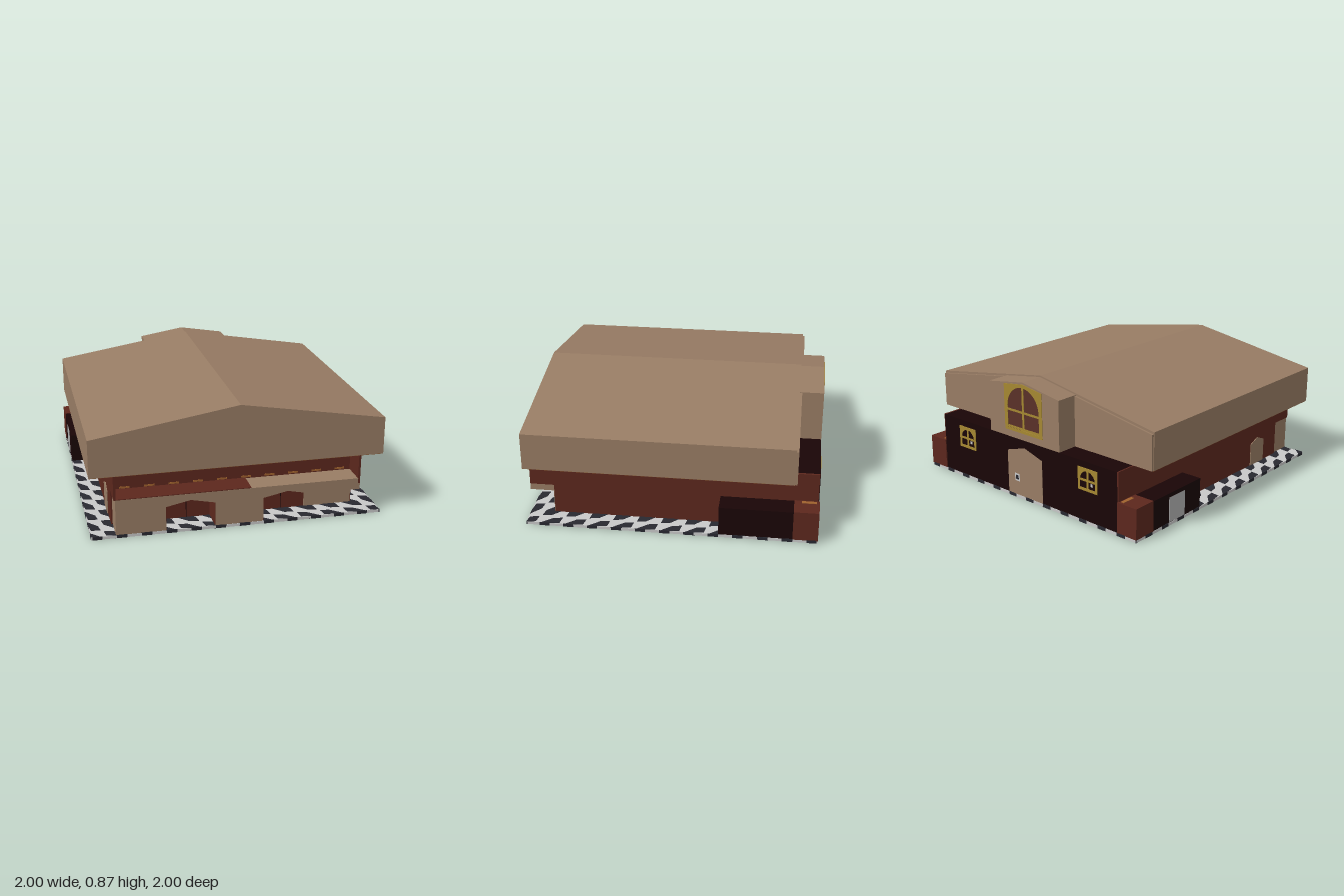
import * as THREE from 'three';

const mat = (name, color) => {
  const m = new THREE.MeshStandardMaterial({ color });
  m.name = name;
  return m;
};

export function createModel() {
  const model = new THREE.Group();
  model.name = 'hall';
  const tan = mat('tan plaster', 0x987c64);
  const red = mat('dark red brick', 0x5c271d);
  const black = mat('black timber', 0x190506);
  const white = mat('pale tile', 0xc8c8c8);
  const dark = mat('charcoal tile', 0x282830);
  const gold = mat('gold frame', 0xa68832);
  const glass = mat('window glass', 0x5a3028);
  const orange = mat('orange lamp', 0xa0622e);
  const grey = mat('grey door', 0xb0b0b0);
  const brown = mat('brown timber', 0x8a5c34);

  const add = (name, geo, material, parent = model) => {
    const m = new THREE.Mesh(geo, material);
    m.name = name;
    parent.add(m);
    return m;
  };
  // box given by its two extreme corners
  const box = (name, material, x0, x1, y0, y1, z0, z1, parent) => {
    const m = add(name, new THREE.BoxGeometry(x1 - x0, y1 - y0, z1 - z0), material, parent);
    m.position.set((x0 + x1) / 2, (y0 + y1) / 2, (z0 + z1) / 2);
    return m;
  };
  const toShape = (outline) => new THREE.Shape(outline.map(([x, y]) => new THREE.Vector2(x, y)));
  // shape in x and y, swept from z0 to z1
  const sweep = (name, material, shape, z0, z1, parent) => {
    const geo = new THREE.ExtrudeGeometry(shape, { depth: z1 - z0, bevelEnabled: false, curveSegments: 10 });
    geo.translate(0, 0, z0);
    return add(name, geo, material, parent);
  };
  const gable = (w, y0, eave, ridge) => toShape([[-w, y0], [w, y0], [w, eave], [0, ridge], [-w, eave]]);

  // pale floor with long dark hexagons laid along one diagonal, cut off at the rim
  box('floorSlab', white, -0.999, 0.999, 0.001, 0.021, -0.999, 0.999);
  const n = 12, s = 2 / n, L = 0.105, W = 0.038;
  const hexagon = [[L, 0], [L / 2, W], [-L / 2, W], [-L, 0], [-L / 2, -W], [L / 2, -W]];
  const clamp = (v) => THREE.MathUtils.clamp(v, -1, 1);
  const tiles = [];
  for (let i = 0; i <= n; i++) {
    for (let j = 0; j <= n; j++) {
      tiles.push(toShape(hexagon.map(([a, b]) => [
        clamp(-1 + i * s + (a - b) * Math.SQRT1_2),
        clamp(-1 + j * s - (a + b) * Math.SQRT1_2),
      ])));
    }
  }
  sweep('darkTiles', dark, tiles, 0, 0.023).rotation.x = -Math.PI / 2;

  // main body and the dark back wall
  box('mainWalls', red, -0.835, 0.835, 0.02, 0.44, -0.84, 0.83);
  box('backWall', black, -0.835, 0.835, 0.02, 0.44, -0.996, -0.84);

  // side walls, outbuildings and corner blocks
  for (const k of [-1, 1]) {
    const span = (a, b) => (k > 0 ? [a, b] : [-b, -a]);
    box('sideWall', red, ...span(0.83, 0.845), 0.02, 0.44, -0.992, 0.83);
    box('balconySide', red, ...span(0.83, 0.845), k > 0 ? 0.235 : 0.27, 0.44, 0.83, 0.998);
    box('sideShed', black, ...span(0.84, 0.997), 0.02, 0.23, -0.83, -0.33);
    box('cornerBlock', red, ...span(0.84, 1), 0.02, 0.235, -1, -0.83);
    box('cornerLamp', orange, ...span(0.855, 0.88), 0.235, 0.238, -0.98, -0.88);
  }
  box('shedDoor', grey, -1, -0.994, 0.025, 0.2, -0.665, -0.5);
  const sideDoor = sweep('sideDoor', tan, gable(0.083, 0.022, 0.19, 0.225), 0, 0.006);
  sideDoor.rotation.y = -Math.PI / 2;
  sideDoor.position.set(-0.844, 0, 0.583);

  // front porch with two gabled openings, open at its far end
  sweep('frontPorch', tan, toShape([
    [-0.835, 0.02], [-0.5, 0.02], [-0.5, 0.19], [-0.333, 0.225], [-0.165, 0.19], [-0.165, 0.02],
    [0.165, 0.02], [0.165, 0.19], [0.333, 0.225], [0.5, 0.19], [0.845, 0.19],
    [0.845, 0.235], [0.835, 0.235], [0.835, 0.27], [-0.835, 0.27],
  ]), 0.83, 0.998);
  for (const x of [-0.499, -0.166, 0.166]) box('doorJamb', red, x - 0.003, x + 0.003, 0.022, 0.192, 0.83, 0.99);
  box('porchLamp', orange, 0.168, 0.173, 0.165, 0.185, 0.88, 0.98);
  box('porchBracket', black, 0.168, 0.173, 0.1, 0.12, 0.85, 0.91);
  box('balconyFloor', red, -0.83, 0.08, 0.27, 0.275, 0.83, 0.997);
  box('porchBackWall', tan, 0.5, 0.84, 0.022, 0.19, 0.828, 0.835);
  for (const x of [-0.333, 0.333]) box('doorSeam', black, x - 0.002, x + 0.002, 0.022, 0.225, 0.828, 0.833);
  for (let i = 0; i < 10; i++) {
    const x = -0.75 + i * 0.167;
    box('balconyLamp', orange, x - 0.035, x + 0.035, 0.277, 0.29, 0.828, 0.832);
  }

  // large roof with a timber underside, and the raised back tower
  sweep('roof', tan, gable(1, 0.44, 0.7, 0.865), -0.83, 1);
  box('soffit', brown, -0.998, 0.998, 0.437, 0.441, -0.828, 0.998);
  sweep('backGable', tan, gable(0.995, 0.44, 0.685, 0.85), -0.845, -0.83);
  sweep('backTower', tan, gable(0.333, 0.44, 0.8, 0.855), -0.996, -0.83);

  // back door with a small notice
  sweep('backDoor', tan, gable(0.167, 0.022, 0.335, 0.385), -0.998, -0.994);
  box('noticeFrame', white, 0.055, 0.1, 0.125, 0.18, -0.999, -0.996);
  box('notice', dark, 0.065, 0.09, 0.137, 0.168, -1, -0.997);

  // arched windows in gold frames
  const archWindow = (x, y, w, h, shape, pane, bars) => {
    const g = new THREE.Group();
    g.name = 'archedWindow';
    g.position.set(x, y, 0);
    model.add(g);
    const hole = new THREE.Path();
    hole.moveTo(-w, 0.02);
    hole.lineTo(w, 0.02);
    hole.lineTo(w, h - w);
    hole.absarc(0, h - w, w, 0, Math.PI, false);
    hole.lineTo(-w, 0.02);
    shape.holes.push(hole);
    sweep('windowFrame', gold, shape, -1, -0.994, g);
    box('windowGlass', pane, -w, w, 0.01, h, -0.9975, -0.994, g);
    box('uprightBar', gold, -0.009, 0.009, 0.01, h, -0.9995, -0.995, g);
    for (const b of bars) box('crossBar', gold, -w, w, b - 0.008, b + 0.008, -0.9995, -0.995, g);
    return g;
  };
  archWindow(0, 0.49, 0.15, 0.325, gable(0.18, 0, 0.325, 0.35), glass, [0.03, 0.15]);
  for (const x of [-0.585, 0.585]) {
    const outline = toShape([[-0.085, 0], [0.085, 0], [0.085, 0.16], [-0.085, 0.16]]);
    const g = archWindow(x, 0.235, 0.066, 0.14, outline, black, [0.075]);
    box('paleGlint', white, -0.045, -0.025, 0.04, 0.062, -0.9985, -0.996, g);
  }

  return model;
}
